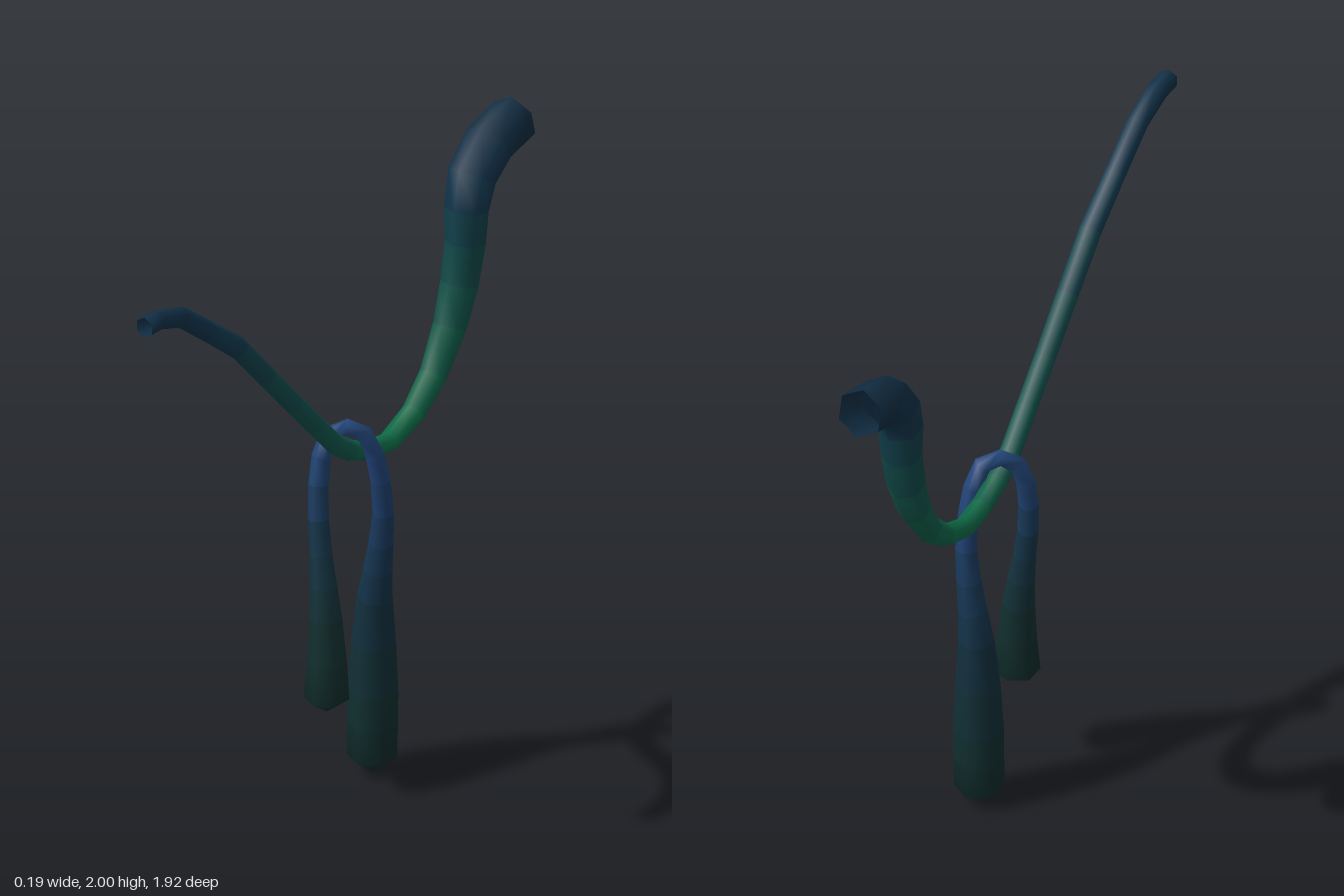
import * as THREE from 'three';

const SIDES = 6;
const X = new THREE.Vector3(1, 0, 0);

// Colour at fraction t along evenly spaced or placed stops [t, hex]
function colorAt(stops, t) {
  let i = 0;
  while (i < stops.length - 2 && t > stops[i + 1][0]) i++;
  const [t0, c0] = stops[i], [t1, c1] = stops[i + 1];
  const k = THREE.MathUtils.clamp((t - t0) / (t1 - t0), 0, 1);
  return new THREE.Color(c0).lerp(new THREE.Color(c1), k);
}

// Tapering six-sided vine through rows of [x, y, z, radius], split into colour bands
function makeVine(name, rows, stops) {
  const group = new THREE.Group();
  group.name = name;
  const pts = rows.map(([x, y, z]) => new THREE.Vector3(x, y, z));
  const last = rows.length - 1;
  const positions = [], lengths = [0];
  pts.forEach((p, i) => {
    if (i) lengths.push(lengths[i - 1] + p.distanceTo(pts[i - 1]));
    const before = p.clone().sub(pts[Math.max(i - 1, 0)]).normalize();
    const after = pts[Math.min(i + 1, last)].clone().sub(p).normalize();
    const tangent = before.add(after).normalize();
    const side = X.clone().addScaledVector(tangent, -X.dot(tangent)).normalize();
    const up = tangent.clone().cross(side);
    for (let j = 0; j < SIDES; j++) {
      const a = ((j + 0.5) / SIDES) * Math.PI * 2;
      const v = p.clone()
        .addScaledVector(side, Math.cos(a) * rows[i][3])
        .addScaledVector(up, Math.sin(a) * rows[i][3]);
      positions.push(v.x, v.y, v.z);
    }
  });

  const bands = [];
  for (let i = 0; i < last; i++) {
    const band = [];
    for (let j = 0; j < SIDES; j++) {
      const a = i * SIDES + j, b = i * SIDES + (j + 1) % SIDES;
      const c = a + SIDES, d = b + SIDES;
      if (rows[i][3] > 0) band.push(a, b, c);
      if (rows[i + 1][3] > 0) band.push(b, d, c);
    }
    bands.push(band);
  }

  // Normals are shared by all bands so the vine stays smooth
  const whole = new THREE.BufferGeometry();
  whole.setAttribute('position', new THREE.Float32BufferAttribute(positions, 3));
  whole.setIndex(bands.flat());
  whole.computeVertexNormals();

  bands.forEach((band, i) => {
    const geometry = new THREE.BufferGeometry();
    geometry.setAttribute('position', whole.getAttribute('position'));
    geometry.setAttribute('normal', whole.getAttribute('normal'));
    geometry.setIndex(band);
    const t = (lengths[i] + lengths[i + 1]) / 2 / lengths[last];
    const material = new THREE.MeshStandardMaterial({
      color: colorAt(stops, t), side: THREE.DoubleSide,
    });
    const mesh = new THREE.Mesh(geometry, material);
    mesh.name = `${name}Section${i + 1}`;
    group.add(mesh);
  });
  return group;
}

export function createModel() {
  const model = new THREE.Group();
  model.name = 'knottedVines';

  // Long vine sagging between two high open ends, thicker towards the back
  const longVine = [
    [1.966, 0.95, 0.033], [1.965, 0.88, 0.033], [1.925, 0.76, 0.033], [1.82, 0.62, 0.033],
    [1.705, 0.47, 0.035], [1.555, 0.33, 0.034], [1.405, 0.19, 0.033], [1.29, 0.08, 0.033],
    [1.185, -0.02, 0.033], [1.13, -0.1, 0.033], [1.092, -0.2, 0.033], [1.08, -0.3, 0.033],
    [1.128, -0.425, 0.037], [1.215, -0.525, 0.043], [1.345, -0.61, 0.052], [1.47, -0.66, 0.059],
    [1.6, -0.69, 0.063], [1.71, -0.695, 0.069], [1.81, -0.725, 0.076], [1.885, -0.81, 0.079],
    [1.92, -0.945, 0.079],
  ].map(([y, z, r]) => [0, y, z, r]);
  model.add(makeVine('longVine', longVine, [
    [0, 0x123048], [0.15, 0x123850], [0.3, 0x124a4c], [0.48, 0x10594c],
    [0.58, 0x0e7048], [0.68, 0x0f6048], [0.8, 0x104a48], [0.9, 0x12324c], [1, 0x112c40],
  ]));

  // Short vine slung over the long one, both closed ends hanging down
  const hangingVine = [
    [0, 0.295, 0.02, 0], [0, 0.34, 0.02, 0.07], [-0.002, 0.46, 0.014, 0.061],
    [-0.012, 0.6, 0.006, 0.05], [-0.025, 0.7, 0, 0.042], [-0.042, 0.8, -0.009, 0.035],
    [-0.06, 0.91, -0.021, 0.032], [-0.071, 1.02, -0.036, 0.031], [-0.07, 1.11, -0.05, 0.03],
    [-0.053, 1.18, -0.066, 0.03], [-0.006, 1.21, -0.095, 0.029], [0.04, 1.185, -0.125, 0.029],
    [0.058, 1.11, -0.15, 0.03], [0.064, 1.02, -0.17, 0.031], [0.06, 0.9, -0.19, 0.033],
    [0.044, 0.79, -0.2, 0.038], [0.026, 0.69, -0.208, 0.045], [0.01, 0.59, -0.214, 0.055],
    [0.002, 0.43, -0.219, 0.069], [0, 0.27, -0.219, 0.077], [0, 0.16, -0.217, 0.077],
    [0, 0.052, -0.213, 0.077], [0, 0, -0.21, 0],
  ];
  model.add(makeVine('hangingVine', hangingVine, [
    [0, 0x102c2a], [0.12, 0x12302f], [0.27, 0x16364c], [0.36, 0x214576],
    [0.44, 0x264a80], [0.52, 0x22447a], [0.64, 0x183858], [0.75, 0x123040],
    [0.88, 0x113032], [1, 0x0f2a27],
  ]));

  return model;
}
